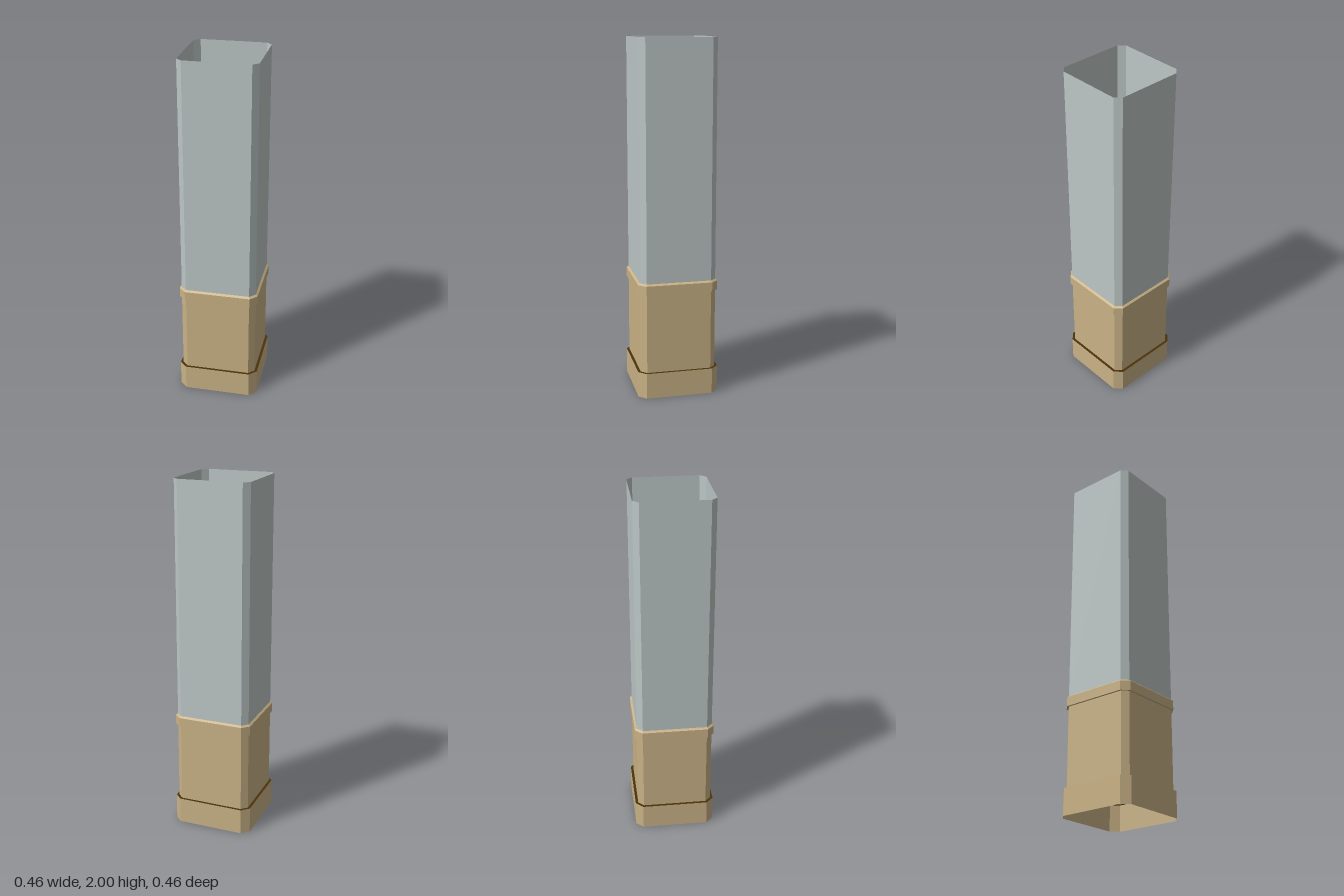
import * as THREE from 'three';

const material = (name, color) =>
  new THREE.MeshStandardMaterial({ name, color, side: THREE.DoubleSide });

// Square outline with cut corners, counter-clockwise seen from above
function outline([half, flat, y]) {
  return [
    [flat, half], [half, flat], [half, -flat], [flat, -half],
    [-flat, -half], [-half, -flat], [-half, flat], [-flat, half],
  ].map(([x, z]) => [x, y, z]);
}

// Flat-shaded skin joining outlines listed from bottom to top
function skin(name, mat, levels) {
  const rings = levels.map(outline);
  const positions = [];
  for (let r = 0; r < rings.length - 1; r++) {
    for (let i = 0; i < 8; i++) {
      const j = (i + 1) % 8;
      const a = rings[r][i], b = rings[r][j], c = rings[r + 1][j], d = rings[r + 1][i];
      positions.push(...a, ...b, ...c, ...a, ...c, ...d);
    }
  }
  const geometry = new THREE.BufferGeometry();
  geometry.setAttribute('position', new THREE.Float32BufferAttribute(positions, 3));
  geometry.computeVertexNormals();
  const mesh = new THREE.Mesh(geometry, mat);
  mesh.name = name;
  return mesh;
}

export function createModel() {
  const grey = material('pale grey', 0xbcc7c5);
  const tan = material('tan', 0xc9b286);
  const brown = material('dark brown', 0x4a3208);

  const half = 0.215, flat = 0.183;
  const baseTop = 0.148, trimBottom = 0.605, trimTop = 0.667;

  const group = new THREE.Group();
  group.name = 'column';
  group.add(
    // Open base band and the narrow ledge stepping in to the shaft
    skin('baseBand', tan, [[0.23, 0.189, 0], [0.23, 0.189, baseTop]]),
    skin('baseLedge', brown, [[0.23, 0.189, baseTop], [half, flat, baseTop]]),
    // Hollow shaft in two colours, open at the top
    skin('lowerShaft', tan, [[half, flat, baseTop], [half, flat, trimTop]]),
    skin('upperShaft', grey, [[half, flat, trimTop], [half, flat, 2]]),
    // Trim collar with a flat underside and bevelled top
    skin('trimCollar', tan, [
      [half, flat, trimBottom], [0.226, 0.187, trimBottom],
      [0.226, 0.187, trimTop - 0.009], [half, flat, trimTop],
    ]),
  );
  return group;
}
